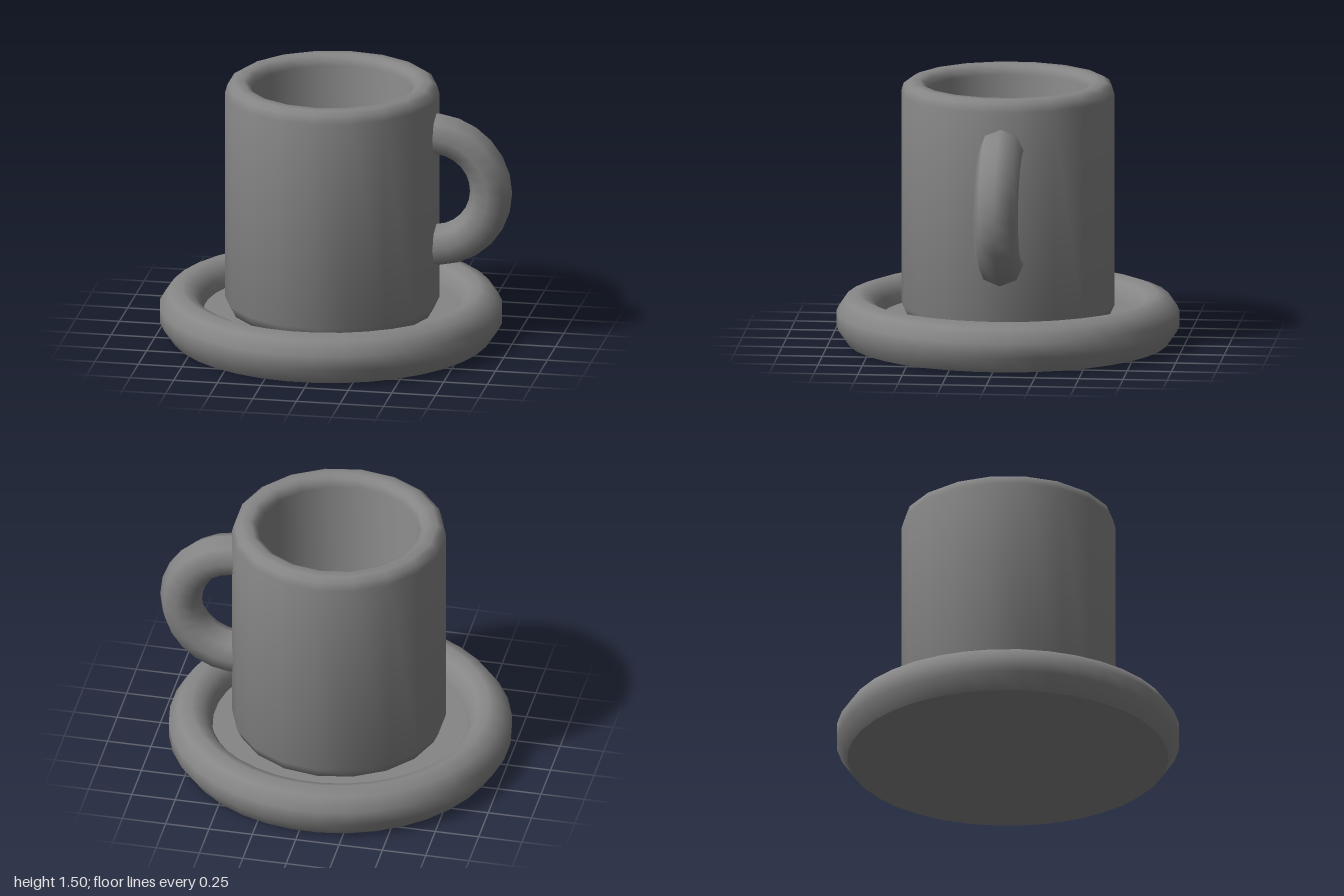
import * as THREE from 'three';
import { toCreasedNormals } from 'three/addons/utils/BufferGeometryUtils.js';

const material = new THREE.MeshStandardMaterial({ color: 0x868686 });

// Turned part: profile is [radius, height], running up the outside and down the inside
function turned(name, x, profile, sides, start = 0) {
  const points = profile.map(([r, y]) => new THREE.Vector2(r, y));
  const geometry = toCreasedNormals(new THREE.LatheGeometry(points, sides, start), 0.85);
  const mesh = new THREE.Mesh(geometry, material);
  mesh.name = name;
  mesh.position.x = x;
  return mesh;
}

export function createModel() {
  const model = new THREE.Group();
  model.name = 'cupAndSaucer';

  // Saucer: flat base, fat rounded rim, sunken floor
  model.add(turned('saucer', -0.037, [
    [0, 0], [0.905, 0], [0.967, 0.09], [0.967, 0.175], [0.915, 0.25], [0.84, 0.277],
    [0.775, 0.25], [0.735, 0.2], [0.72, 0.14], [0, 0.14],
  ], 36, Math.PI / 36));

  // Cup: rounded foot and lip, hollow inside
  model.add(turned('cup', -0.03, [
    [0, 0.135], [0.52, 0.135], [0.575, 0.16], [0.603, 0.22],
    [0.603, 1.43], [0.59, 1.475], [0.555, 1.497],
    [0.5, 1.497], [0.47, 1.48], [0.455, 1.44],
    [0.455, 0.31], [0.445, 0.28], [0, 0.27],
  ], 18));

  // Handle: part of a ring whose ends sink into the cup wall
  const arc = THREE.MathUtils.degToRad(200);
  const ring = new THREE.TorusGeometry(0.328, 0.121, 8, 14, arc);
  ring.rotateZ(-arc / 2);
  ring.scale(1, 1, 1.04);
  const handle = new THREE.Mesh(ring, material);
  handle.name = 'handle';
  handle.position.set(0.549, 0.887, -0.018);
  model.add(handle);

  return model;
}
